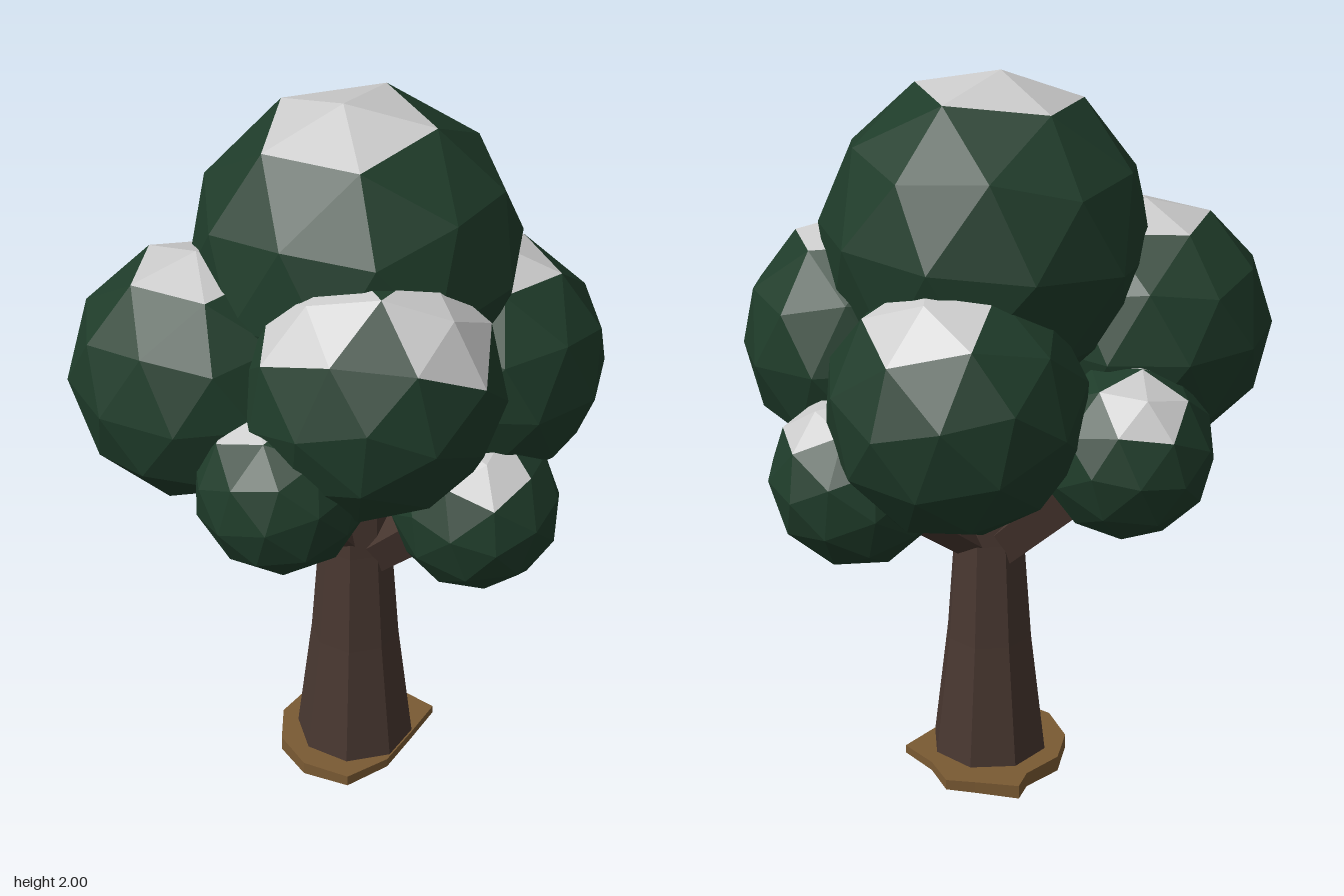
import * as THREE from 'three';

const mat = (color) => new THREE.MeshStandardMaterial({ color, flatShading: true });
const leafMat = mat(0x1f3c2a);
const snowMat = mat(0xcccccc);
const barkMat = mat(0x483730);
const soilMat = mat(0x7a5a33);

// Faceted ball; the five faces round each high main corner are snow
function foliage(name, [x, y, z], r, spin, tiltX, tiltZ, snowLine = 0.82) {
  const orient = (g) => g
    .rotateX(-Math.atan((1 + Math.sqrt(5)) / 2)).rotateY(spin).rotateZ(tiltZ).rotateX(tiltX);
  const points = (g) => {
    const p = g.attributes.position;
    return Array.from({ length: p.count }, (_, i) => new THREE.Vector3().fromBufferAttribute(p, i));
  };
  const corners = points(orient(new THREE.IcosahedronGeometry(r, 0))).filter((v) => v.y > snowLine * r);
  const verts = points(orient(new THREE.IcosahedronGeometry(r, 1)));
  const leaf = [], snow = [];
  for (let i = 0; i < verts.length; i += 3) {
    const face = verts.slice(i, i + 3);
    const mid = new THREE.Vector3().add(face[0]).add(face[1]).add(face[2]).divideScalar(3);
    const snowy = corners.some((c) => c.distanceTo(mid) < 0.5 * r);
    (snowy ? snow : leaf).push(...face);
  }
  const group = new THREE.Group();
  group.name = name;
  for (const [part, data, m] of [['leaves', leaf, leafMat], ['snowCap', snow, snowMat]]) {
    const g = new THREE.BufferGeometry().setFromPoints(data);
    g.computeVertexNormals();
    const mesh = new THREE.Mesh(g, m);
    mesh.name = part;
    group.add(mesh);
  }
  group.position.set(x, y, z);
  return group;
}

// Straight square limb between two points, wider at the far end
function limb(name, from, to) {
  const a = new THREE.Vector3(...from), b = new THREE.Vector3(...to);
  const dir = b.clone().sub(a);
  const geo = new THREE.CylinderGeometry(0.075, 0.06, dir.length(), 4, 1, false, Math.PI / 4);
  const mesh = new THREE.Mesh(geo, barkMat);
  mesh.position.copy(a).add(b).multiplyScalar(0.5);
  mesh.quaternion.setFromUnitVectors(new THREE.Vector3(0, 1, 0), dir.normalize());
  mesh.name = name;
  return mesh;
}

export function createModel() {
  const tree = new THREE.Group();
  tree.name = 'tree';

  // Ragged patch of soil
  const outline = [
    [0.25, -0.08], [0.2, 0.05], [0.15, 0.17], [0.05, 0.26], [-0.08, 0.22], [-0.16, 0.12],
    [-0.175, 0], [-0.12, -0.11], [-0.12, -0.18], [0, -0.2], [0.08, -0.215], [0.15, -0.14],
  ].map(([x, z]) => new THREE.Vector2(x, z));
  const soilGeo = new THREE.ExtrudeGeometry(new THREE.Shape(outline), { depth: 0.045, bevelEnabled: false });
  soilGeo.rotateX(Math.PI / 2).translate(0, 0.045, 0);
  // Lift the underside unevenly
  const sp = soilGeo.attributes.position;
  for (let i = 0; i < sp.count; i++) {
    if (sp.getY(i) < 0.02) sp.setY(i, 0.011 + 0.011 * Math.sin(Math.atan2(sp.getX(i), -sp.getZ(i))));
  }
  const soil = new THREE.Mesh(soilGeo, soilMat);
  soil.name = 'soil';
  tree.add(soil);

  // Eight-sided trunk, flared at the foot
  const profile = [[0.165, 0.04], [0.122, 0.4], [0.1, 0.7], [0.09, 1.0], [0.07, 1.35]]
    .map(([r, y]) => new THREE.Vector2(r, y));
  const trunk = new THREE.Mesh(new THREE.LatheGeometry(profile, 8), barkMat);
  trunk.position.set(0.038, 0, 0.032);
  trunk.name = 'trunk';
  tree.add(trunk);

  // Branches, one to each small clump
  tree.add(
    limb('frontBranch', [0.02, 0.7, 0.03], [-0.08, 1.1, 0.4]),
    limb('leftBranch', [0.04, 0.63, 0.03], [0.34, 0.95, 0.17]),
    limb('backBranch', [0.04, 0.66, 0.03], [0.24, 0.98, -0.31]),
    limb('rightBranch', [0.04, 0.63, 0.03], [-0.36, 1.05, -0.13]),
  );

  // Foliage: centre, radius, spin, tilt x, tilt z, snow line
  const clumps = [
    ['crown', [0.032, 1.566, -0.005], 0.435, 0.3, 0.09, 0.06],
    ['rightClump', [-0.34, 1.31, 0.19], 0.338, 0.31, 0, 0],
    ['frontClump', [0.12, 1.37, 0.312], 0.337, 1.62, 0.38, 0.45, 0.65],
    ['leftClump', [0.352, 1.27, -0.04], 0.335, 0.25, 0, -0.1],
    ['backClump', [0, 1.23, -0.332], 0.34, 0.33, -0.4, -0.1],
    ['frontSmallClump', [-0.09, 1.14, 0.44], 0.224, 0.3, 0, 0.3],
    ['leftSmallClump', [0.375, 0.96, 0.19], 0.224, 0.3, 0.5, -0.15],
    ['backSmallClump', [0.265, 1.0, -0.35], 0.232, 0.3, -0.35, -0.35],
    ['rightSmallClump', [-0.395, 1.085, -0.145], 0.228, 0.3, -0.5, 0.35, 0.78],
  ];
  for (const c of clumps) tree.add(foliage(...c));
  return tree;
}
